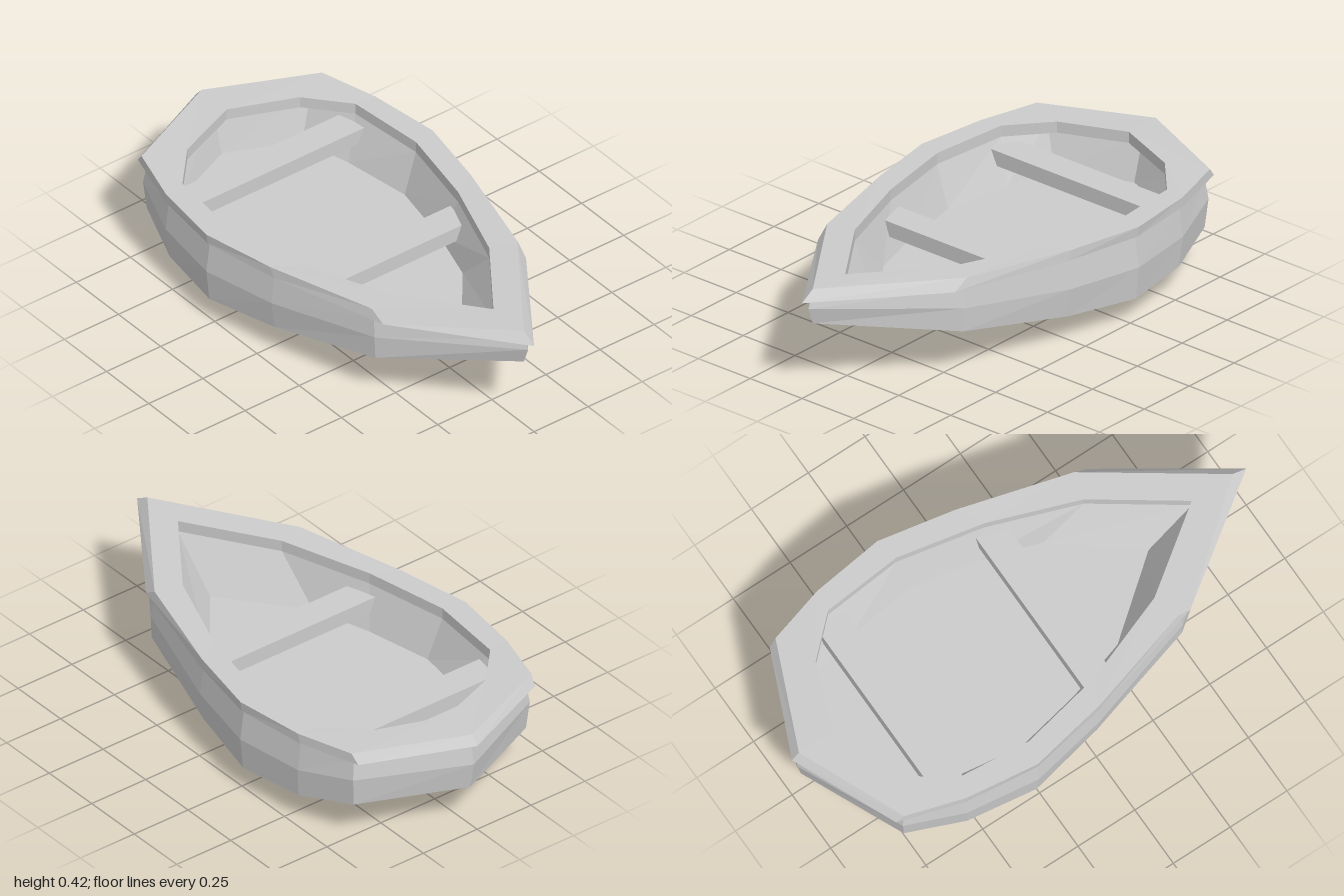
import * as THREE from 'three';

const material = new THREE.MeshStandardMaterial({ color: 0xcccccc, flatShading: true });

// Half outlines run from bow to stern on the left side: [x, y, z]
const chine = [[0, .283, .94], [.335, .19, .49], [.45, .12, .04], [.51, .095, -.27], [.475, .11, -.55], [.4, .16, -.78], [0, .165, -.96]];
const bilge = [[0, .35, .965], [.34, .285, .49], [.465, .235, .04], [.523, .225, -.27], [.485, .23, -.56], [.41, .275, -.79], [0, .275, -.98]];
const sheer = [[0, .385, .95], [.333, .36, .48], [.45, .35, .04], [.507, .35, -.27], [.47, .35, -.56], [.4, .358, -.78], [0, .365, -.965]];
const rimOuterLow = [[0, .387, 1], [.33, .362, .53], [.46, .352, .05], [.518, .35, -.27], [.483, .352, -.57], [.41, .36, -.82], [0, .367, -1]];
const rimOuterTop = [[0, .423, .94], [.337, .402, .47], [.463, .392, .03], [.522, .39, -.27], [.485, .391, -.56], [.417, .397, -.79], [0, .403, -.97]];
const rimInnerTop = [[0, .415, .76], [.23, .402, .44], [.36, .392, .09], [.43, .39, -.25], [.4, .391, -.57], [.26, .397, -.72], [0, .402, -.82]];
const rimInnerLow = rimInnerTop.map(([x, y, z]) => [x, y - .045, z]);
const wallTop = [...rimInnerLow.slice(0, 5), [.34, .352, -.76], [0, .357, -.9]];
const floorEdge = [[0, .185, .57], [.24, .185, .27], [.315, .185, .03], [.37, .185, -.24], [.33, .185, -.52], [.28, .185, -.73], [0, .185, -.85]];
const keel = [[0, .08, .3], [0, 0, -.2], [0, .04, -.63]];

// Mirrors a half outline into a closed ring
const ring = half => [...half, ...half.slice(1, -1).reverse().map(([x, y, z]) => [-x, y, z])];

function meshFrom(name, triangles) {
  const geometry = new THREE.BufferGeometry();
  geometry.setAttribute('position', new THREE.Float32BufferAttribute(triangles.flat(2), 3));
  geometry.computeVertexNormals();
  const mesh = new THREE.Mesh(geometry, material);
  mesh.name = name;
  return mesh;
}

// Joins successive rings with quads
function loft(...halves) {
  const rings = halves.map(ring), out = [];
  for (let r = 0; r < rings.length - 1; r++) {
    const a = rings[r], b = rings[r + 1], n = a.length;
    for (let i = 0; i < n; i++) {
      const j = (i + 1) % n;
      out.push([a[i], a[j], b[j]], [a[i], b[j], b[i]]);
    }
  }
  return out;
}

// Plank with its ends angled to meet the hull sides
function bench(name, zFront, zBack, halfFront, halfBack, top, thickness) {
  const shape = new THREE.Shape([
    new THREE.Vector2(-halfFront, -zFront), new THREE.Vector2(halfFront, -zFront),
    new THREE.Vector2(halfBack, -zBack), new THREE.Vector2(-halfBack, -zBack),
  ]);
  const geometry = new THREE.ExtrudeGeometry(shape, { depth: thickness, bevelEnabled: false });
  geometry.rotateX(-Math.PI / 2).translate(0, top - thickness, 0);
  const mesh = new THREE.Mesh(geometry, material);
  mesh.name = name;
  return mesh;
}

export function createModel() {
  const boat = new THREE.Group();
  boat.name = 'rowingBoat';

  // Outer sides and the rim that caps them
  boat.add(meshFrom('hullSides', loft(chine, bilge, sheer)));
  boat.add(meshFrom('rim', loft(sheer, rimOuterLow, rimOuterTop, rimInnerTop, rimInnerLow, wallTop)));

  // Inner walls and flat floor
  boat.add(meshFrom('innerWalls', loft(wallTop, floorEdge)));
  const edge = ring(floorEdge);
  boat.add(meshFrom('floor', edge.map((p, i) => [p, edge[(i + 1) % edge.length], [0, .185, -.2]])));

  // Faceted bottom, folded along the keel
  const [a, b, c] = keel, k = chine;
  const half = [
    [k[0], a, k[1]], [k[1], a, k[2]], [k[2], a, b], [k[2], b, k[3]],
    [k[3], b, k[4]], [k[4], b, c], [k[4], c, k[5]], [k[5], c, k[6]],
  ];
  const mirrored = half.map(t => t.map(([x, y, z]) => [-x, y, z]).reverse());
  boat.add(meshFrom('bottom', [...half, ...mirrored]));

  // Seats
  boat.add(bench('frontBench', .17, .05, .34, .38, .31, .06));
  boat.add(bench('rearBench', -.51, -.63, .415, .4, .32, .06));
  return boat;
}
